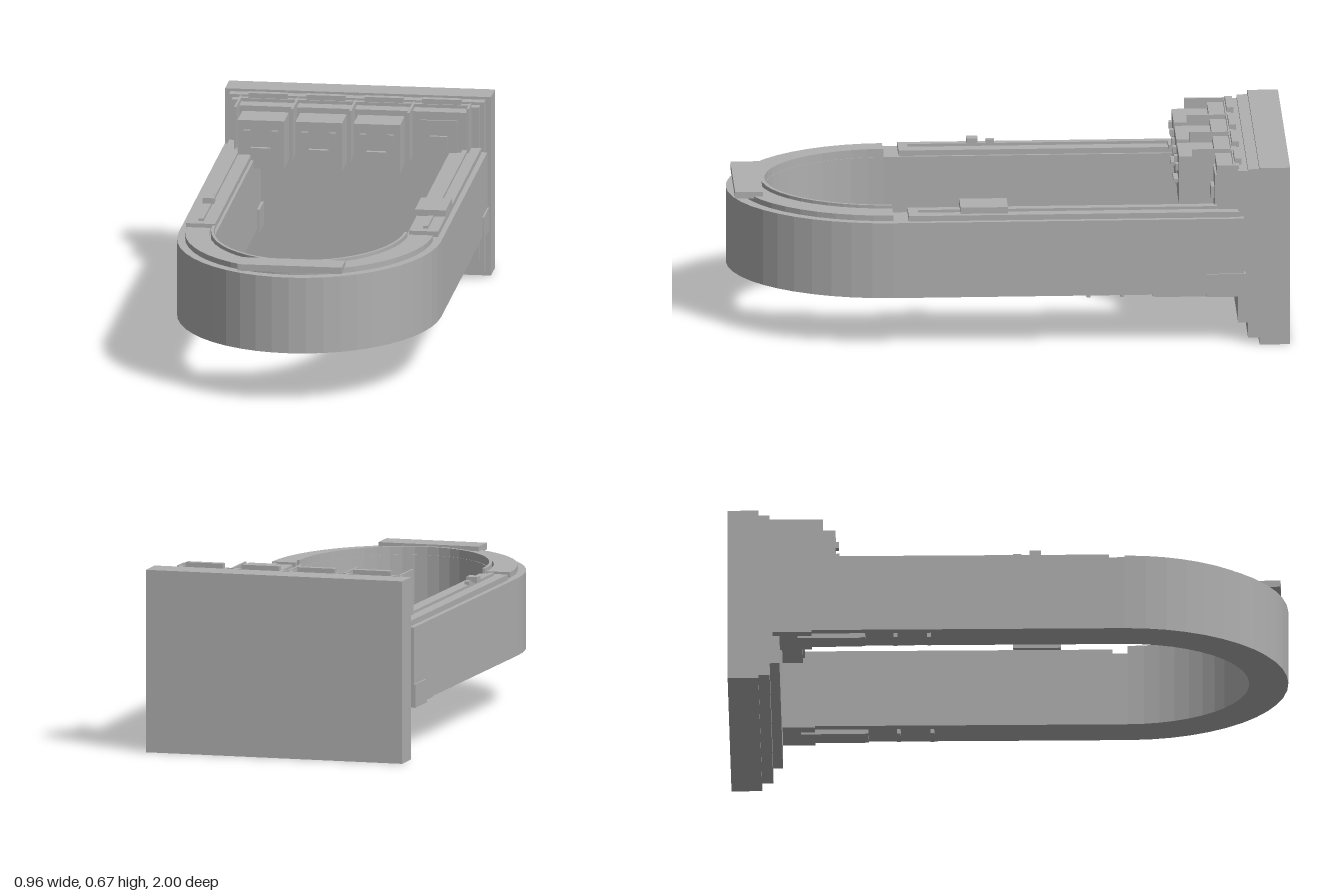
import * as THREE from 'three';

export function createModel() {
  const root = new THREE.Group();
  const grey = new THREE.MeshStandardMaterial({ color: 0xb0b0b0 });
  grey.name = 'plain grey';

  const add = (name, geometry) => {
    const mesh = new THREE.Mesh(geometry, grey);
    mesh.name = name;
    root.add(mesh);
    return mesh;
  };

  // Box given by its limits on each axis
  const box = (name, x0, x1, y0, y1, z0, z1) => {
    const mesh = add(name, new THREE.BoxGeometry(x1 - x0, y1 - y0, z1 - z0));
    mesh.position.set((x0 + x1) / 2, (y0 + y1) / 2, (z0 + z1) / 2);
    return mesh;
  };

  // Same box on the left (+x) and right (-x) arms
  const pair = (name, x0, x1, ...rest) => {
    box(name + 'Left', x0, x1, ...rest);
    box(name + 'Right', -x1, -x0, ...rest);
  };

  // U-shaped band: half-elliptic front, straight arms back to zBack
  const Z_CURVE = 0.42;
  const band = (name, outer, inner, y0, y1, zBack) => {
    const arc = ([rx, rz]) => {
      const pts = [];
      for (let i = 0; i <= 24; i++) {
        const a = (i / 24) * Math.PI;
        pts.push(new THREE.Vector2(rx * Math.cos(a), Z_CURVE + rz * Math.sin(a)));
      }
      if (zBack < Z_CURVE) {
        pts.unshift(new THREE.Vector2(rx, zBack));
        pts.push(new THREE.Vector2(-rx, zBack));
      }
      return pts;
    };
    const shape = new THREE.Shape([...arc(outer), ...arc(inner).reverse()]);
    const geometry = new THREE.ExtrudeGeometry(shape, { depth: y1 - y0, bevelEnabled: false });
    geometry.rotateX(Math.PI / 2);
    add(name, geometry).position.y = y1;
  };

  // Stepped wall plate
  box('wallPlate', -0.48, 0.48, 0, 0.66, -1, -0.89);
  box('wallPlateStep', -0.46, 0.46, 0.02, 0.65, -0.89, -0.85);
  box('wallPlateFace', -0.446, 0.446, 0.073, 0.64, -0.85, -0.815);

  // Main loop with its raised top trims
  band('loop', [0.474, 0.58], [0.34, 0.44], 0.19, 0.47, -0.835);
  band('curveTrim', [0.445, 0.54], [0.358, 0.462], 0.47, 0.49, Z_CURVE);
  band('curveInnerLip', [0.352, 0.456], [0.342, 0.442], 0.47, 0.5, Z_CURVE);
  box('frontPlaque', -0.188, 0.188, 0.483, 0.507, 0.875, 0.975);

  // Arm trims, rails and rear brackets
  pair('armTrim', 0.35, 0.455, 0.47, 0.49, -0.82, 0.365);
  pair('armRail', 0.396, 0.414, 0.49, 0.5, -0.8, 0.33);
  pair('rearBracket', 0.33, 0.48, 0.18, 0.265, -0.84, -0.7);
  pair('underBlock', 0.37, 0.445, 0.172, 0.19, -0.75, -0.52);
  for (const z of [-0.28, -0.4, -0.515]) {
    pair('underBar', 0.37, 0.445, 0.174, 0.19, z - 0.007, z + 0.007);
  }

  // Fittings on the arm rails
  box('leftArmPad', 0.347, 0.458, 0.497, 0.52, 0.01, 0.18);
  box('rightArmClip', -0.427, -0.386, 0.499, 0.52, 0.08, 0.12);
  box('rightArmStud', -0.416, -0.398, 0.499, 0.512, 0.02, 0.05);

  // Bays along the wall, with a cap over each and fins between
  const centres = [-0.314, -0.105, 0.104, 0.313];
  centres.forEach((x, i) => {
    box('bayBack', x - 0.106, x + 0.106, 0.44, 0.65, -0.82, -0.8);
    box('bayCap', x - 0.07, x + 0.07, 0.645, 0.668, -0.83, -0.805);
    box('bayBlock', x - 0.096, x + 0.096, 0.44, 0.638, -0.8, -0.742);
    if (i < 3) {
      // Blocky head with eyes and mouth
      box('head', x - 0.084, x + 0.084, 0.44, 0.618, -0.745, -0.615);
      for (const s of [-1, 1]) {
        const e = x + s * 0.05;
        box('eye', e - 0.012, e + 0.012, 0.559, 0.583, -0.615, -0.603);
      }
      box('mouth', x - 0.035, x + 0.035, 0.506, 0.52, -0.615, -0.598);
    } else {
      // Control panel with a button
      box('controlPanel', x - 0.067, x + 0.067, 0.46, 0.608, -0.742, -0.735);
      box('controlButton', x - 0.032, x + 0.03, 0.508, 0.552, -0.735, -0.722);
    }
  });
  for (const x of [-0.413, -0.208, 0.002, 0.212, 0.415]) {
    box('bayFin', x - 0.004, x + 0.004, 0.47, 0.653, -0.82, x > 0.4 ? -0.74 : -0.66);
  }

  return root;
}
